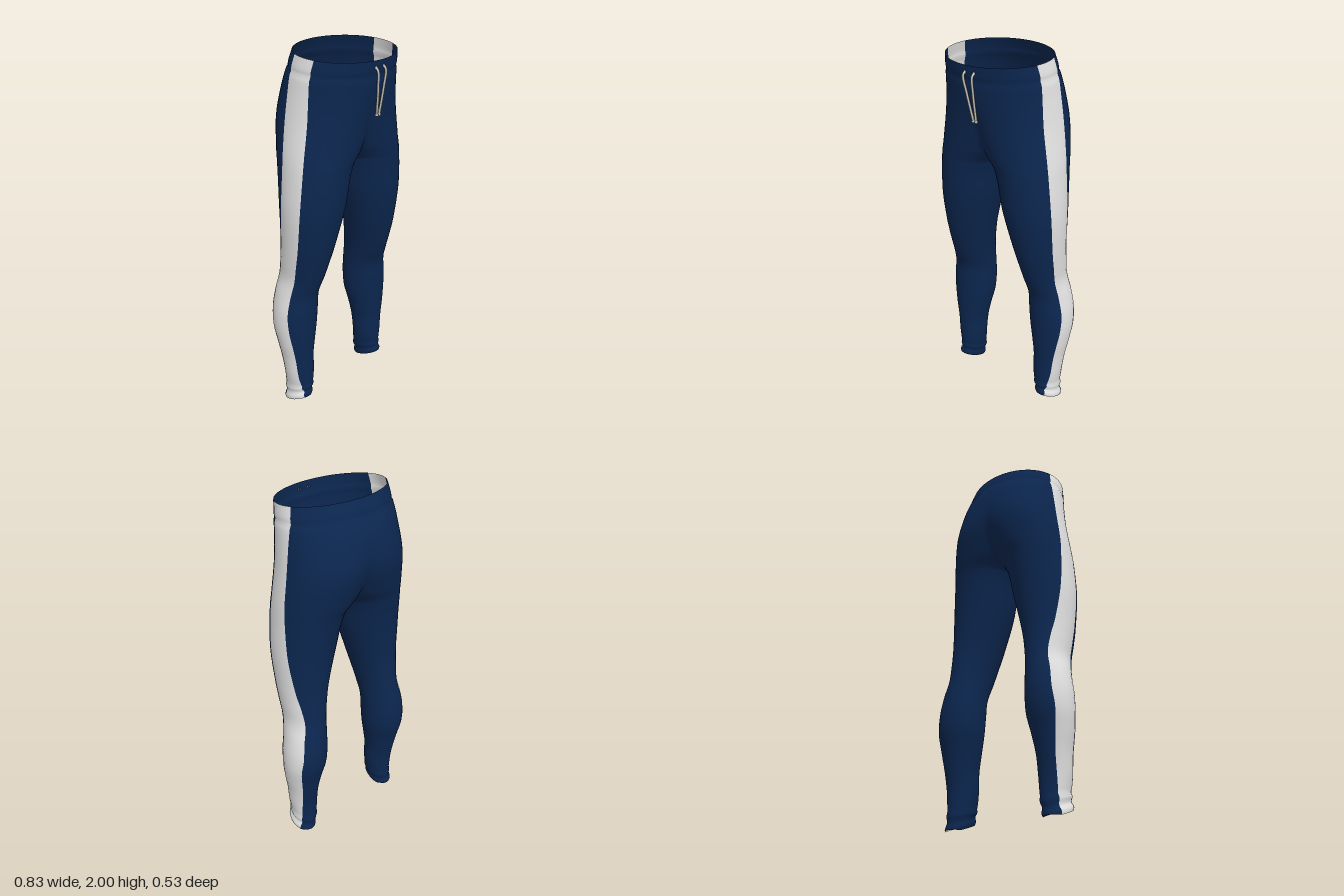
import * as THREE from 'three';
import { mergeVertices } from 'three/addons/utils/BufferGeometryUtils.js';

// Left-leg sections, top to bottom: y, inner x, outer x, back z, front z, stripe back z, stripe front z.
// A negative inner x means the section is cut at the middle and joins its mirror image.
const SECTIONS = [
  [1.98, -0.30, 0.300, -0.185, 0.250, -0.030, 0.095],
  [1.90, -0.31, 0.315, -0.215, 0.243, -0.045, 0.080],
  [1.80, -0.28, 0.327, -0.250, 0.232, -0.050, 0.075],
  [1.66, -0.18, 0.345, -0.265, 0.212, -0.055, 0.075],
  [1.50, -0.08, 0.367, -0.230, 0.197, -0.055, 0.075],
  [1.41, 0.000, 0.375, -0.203, 0.190, -0.058, 0.075],
  [1.20, 0.050, 0.387, -0.175, 0.175, -0.075, 0.065],
  [1.00, 0.105, 0.380, -0.165, 0.140, -0.105, 0.040],
  [0.90, 0.130, 0.375, -0.170, 0.115, -0.130, 0.020],
  [0.80, 0.150, 0.372, -0.180, 0.085, -0.150, 0.000],
  [0.70, 0.160, 0.393, -0.195, 0.050, -0.165, -0.018],
  [0.60, 0.163, 0.410, -0.205, 0.045, -0.175, -0.025],
  [0.50, 0.170, 0.413, -0.200, 0.040, -0.165, -0.020],
  [0.40, 0.190, 0.402, -0.175, 0.035, -0.150, -0.010],
  [0.30, 0.208, 0.385, -0.155, 0.030, -0.135, -0.005],
  [0.20, 0.212, 0.375, -0.140, 0.030, -0.120, 0.000],
  [0.08, 0.225, 0.362, -0.140, 0.028, -0.110, 0.010],
  [0.00, 0.240, 0.370, -0.140, 0.030, -0.105, 0.025],
];
const STEPS = 6, SIDE = 16, STRIPE = 6;   // levels per section; segments per panel and stripe
const COLS = SIDE * 2 + STRIPE;
const { clamp, lerp, smoothstep } = THREE.MathUtils;

// Smooth value of column k between sections s and s+1
function sample(s, t, k) {
  const last = SECTIONS.length - 1;
  const slope = (i) => {
    const p = SECTIONS[Math.max(i - 1, 0)], n = SECTIONS[Math.min(i + 1, last)];
    return (n[k] - p[k]) / (n[0] - p[0]);
  };
  const A = SECTIONS[s], B = SECTIONS[s + 1], h = B[0] - A[0];
  const t2 = t * t, t3 = t2 * t;
  return (2 * t3 - 3 * t2 + 1) * A[k] + (t3 - 2 * t2 + t) * h * slope(s)
    + (3 * t2 - 2 * t3) * B[k] + (t3 - t2) * h * slope(s + 1);
}

// One row of points from centre front, round the outer side, to centre back
function ring(s, t) {
  const y = lerp(SECTIONS[s][0], SECTIONS[s + 1][0], t);
  const [xi, xo, zb, zf, sb, sf] = [1, 2, 3, 4, 5, 6].map((k) => sample(s, t, k));
  // waistband seam and cuff folds
  const fold = -0.005 * Math.exp(-(((y - 1.9) / 0.012) ** 2))
    + 0.004 * Math.sin(y * 100) * (1 - smoothstep(y, 0.06, 0.14));
  const cx = (xi + xo) / 2, cz = (zb + zf) / 2;
  const a = (xo - xi) / 2 + fold, b = (zf - zb) / 2 + fold;
  const end = xi >= 0 ? Math.PI : Math.acos(clamp(-cx / a, -1, 1));
  const tF = Math.asin(clamp((sf - cz) / b, -0.97, 0.97));
  const tB = Math.asin(clamp((sb - cz) / b, -0.97, 0.97));
  const top = smoothstep(y, 1.6, 1.98), hem = 1 - smoothstep(y, 0, 0.2);
  const row = [];
  for (let j = 0; j <= COLS; j++) {
    let ang;
    if (j <= SIDE) ang = lerp(end, tF, j / SIDE);
    else if (j <= SIDE + STRIPE) ang = lerp(tF, tB, (j - SIDE) / STRIPE);
    else ang = lerp(tB, -end, (j - SIDE - STRIPE) / SIDE);
    const z = cz + b * Math.sin(ang);
    // waist is higher behind, hem is higher in front
    const py = Math.max(0, y - 0.115 * z * top + 0.35 * (z + 0.105) * hem);
    row.push([cx + a * Math.cos(ang), py, z]);
  }
  return row;
}

// Both halves as one skin, with separate face lists for cloth and stripes
function buildSkin() {
  const rows = [];
  for (let s = 0; s < SECTIONS.length - 1; s++)
    for (let i = 0; i < STEPS; i++) rows.push(ring(s, i / STEPS));
  rows.push(ring(SECTIONS.length - 2, 1));
  const pos = [], cloth = [], stripe = [];
  for (const side of [1, -1]) {
    const base = pos.length / 3;
    for (const row of rows) for (const [x, y, z] of row) pos.push(side * x, y, z);
    for (let i = 0; i < rows.length - 1; i++) {
      for (let j = 0; j < COLS; j++) {
        const p = base + i * (COLS + 1) + j, q = p + COLS + 1;
        const faces = side > 0 ? [p, q, p + 1, p + 1, q, q + 1] : [p, p + 1, q, p + 1, q + 1, q];
        (j >= SIDE && j < SIDE + STRIPE ? stripe : cloth).push(...faces);
      }
    }
  }
  let geo = new THREE.BufferGeometry();
  geo.setAttribute('position', new THREE.Float32BufferAttribute(pos, 3));
  geo.setIndex([...cloth, ...stripe]);
  geo = mergeVertices(geo, 1e-5);
  geo.computeVertexNormals();
  const all = Array.from(geo.index.array);
  return [all.slice(0, cloth.length), all.slice(cloth.length)].map((index) => {
    const part = new THREE.BufferGeometry();
    part.setAttribute('position', geo.attributes.position);
    part.setAttribute('normal', geo.attributes.normal);
    part.setIndex(index);
    return part;
  });
}

export function createModel() {
  const group = new THREE.Group();
  group.name = 'trackTrousers';
  const material = (name, color) => {
    const m = new THREE.MeshStandardMaterial({ color, side: THREE.DoubleSide });
    m.name = name;
    return m;
  };
  const navy = material('navyCloth', 0x0c2750);
  const white = material('whiteStripe', 0xe4e4e4);
  const cordGrey = material('cordGrey', 0xc6c2b8);
  const add = (name, geo, mat, parent = group) => {
    const mesh = new THREE.Mesh(geo, mat);
    mesh.name = name;
    parent.add(mesh);
    return mesh;
  };

  const [clothGeo, stripeGeo] = buildSkin();
  add('trouserCloth', clothGeo, navy);
  add('sideStripes', stripeGeo, white);

  // Drawstrings hanging from the waistband
  for (const [name, x0, x1] of [['rightDrawstring', -0.025, 0.008], ['leftDrawstring', 0.033, 0.026]]) {
    const cord = new THREE.Group();
    cord.name = name;
    const path = new THREE.CatmullRomCurve3([
      new THREE.Vector3(x0, 1.922, 0.238),
      new THREE.Vector3(x0, 1.905, 0.259),
      new THREE.Vector3(lerp(x0, x1, 0.4), 1.82, 0.252),
      new THREE.Vector3(x1, 1.68, 0.230),
    ]);
    add('cord', new THREE.TubeGeometry(path, 24, 0.0065, 8), cordGrey, cord);
    add('cordTip', new THREE.SphereGeometry(0.009, 10, 8), cordGrey, cord).position.set(x1, 1.678, 0.230);
    group.add(cord);
  }
  return group;
}
